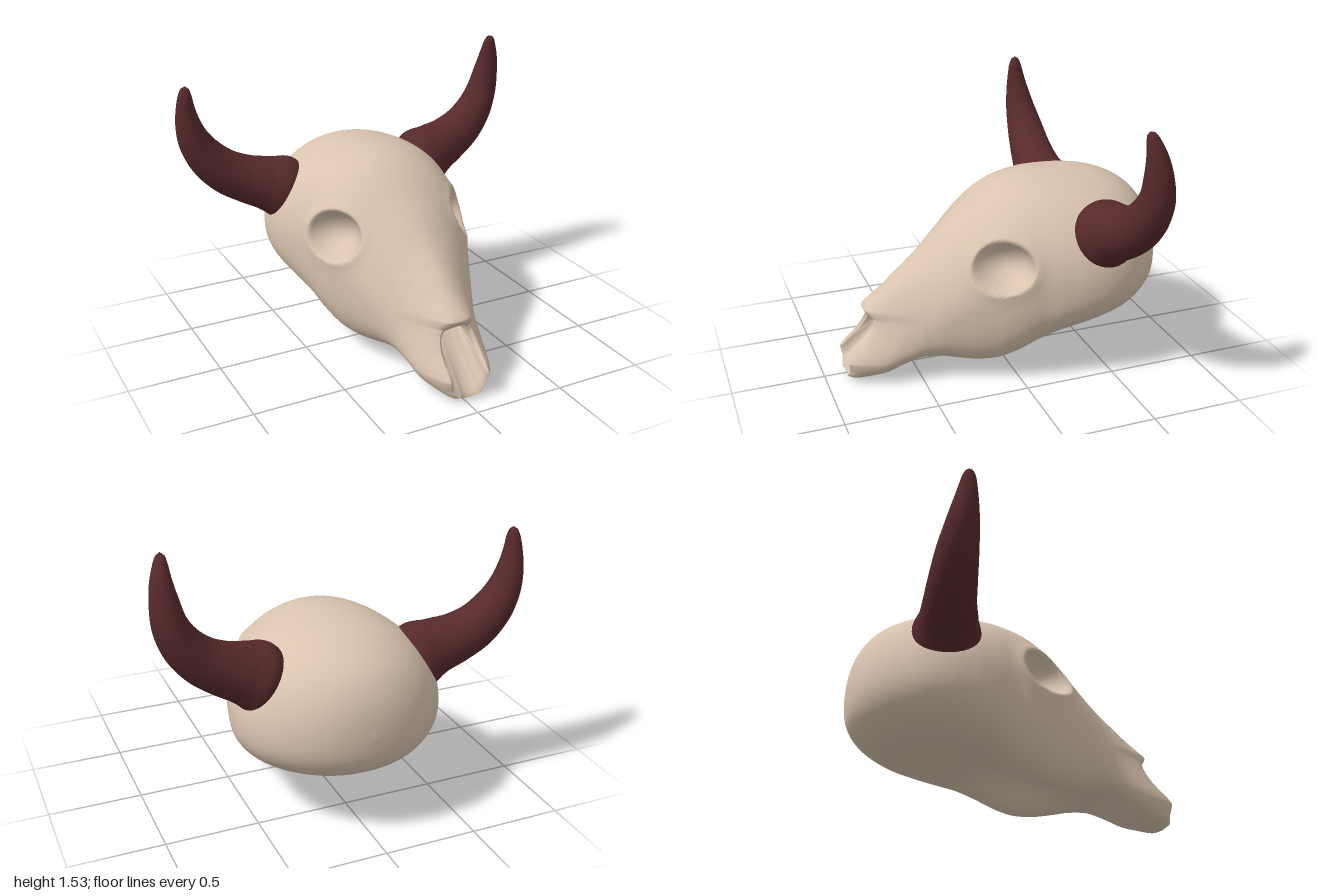
import * as THREE from 'three';
import { mergeVertices } from 'three/addons/utils/BufferGeometryUtils.js';

const MID = 0.022; // the skull sits slightly off the centre line

// Smooth interpolation through rows of numbers, u in 0..1
function sample(rows, u) {
  const f = Math.min(Math.max(u, 0), 1) * (rows.length - 1);
  const i = Math.min(Math.floor(f), rows.length - 2), t = f - i;
  const p0 = rows[Math.max(i - 1, 0)], p1 = rows[i], p2 = rows[i + 1], p3 = rows[Math.min(i + 2, rows.length - 1)];
  return p1.map((b, k) => {
    const a = p0[k], c = p2[k], d = p3[k];
    return b + 0.5 * t * (c - a + t * (2 * a - 5 * b + 4 * c - d + t * (3 * (b - c) + d - a)));
  });
}

// Piecewise-linear lookup of [x, value] pairs
function lookup(pairs, x) {
  if (x <= pairs[0][0]) return pairs[0][1];
  for (let i = 1; i < pairs.length; i++) {
    const [x0, v0] = pairs[i - 1], [x1, v1] = pairs[i];
    if (x <= x1) return v0 + (v1 - v0) * (x - x0) / (x1 - x0);
  }
  return pairs[pairs.length - 1][1];
}

// Skull sections, back to front: z, top, bottom, half width, height of widest point,
// upper roundness, hollow of the underside
const SECTIONS = [
  [-0.892, 0.60, 0.60, 0.00, 0.60, 1.0, 0],
  [-0.88, 0.71, 0.49, 0.115, 0.59, 1.0, 0],
  [-0.85, 0.81, 0.425, 0.225, 0.585, 1.0, 0],
  [-0.79, 0.905, 0.365, 0.335, 0.58, 1.0, 0],
  [-0.70, 0.977, 0.315, 0.435, 0.575, 1.0, 0],
  [-0.58, 1.027, 0.275, 0.515, 0.57, 1.0, 0.01],
  [-0.45, 1.05, 0.246, 0.552, 0.57, 1.0, 0.03],
  [-0.32, 1.06, 0.216, 0.552, 0.57, 1.0, 0.07],
  [-0.20, 1.062, 0.185, 0.527, 0.57, 1.0, 0.12],
  [-0.10, 1.05, 0.138, 0.495, 0.57, 1.0, 0.17],
  [0.00, 1.02, 0.088, 0.47, 0.56, 1.0, 0.21],
  [0.10, 0.96, 0.055, 0.435, 0.54, 0.98, 0.22],
  [0.20, 0.88, 0.05, 0.39, 0.49, 1.0, 0.19],
  [0.30, 0.80, 0.07, 0.342, 0.43, 1.05, 0.12],
  [0.40, 0.71, 0.098, 0.295, 0.36, 1.08, 0.05],
  [0.50, 0.63, 0.105, 0.25, 0.28, 1.1, 0.01],
  [0.60, 0.575, 0.075, 0.225, 0.22, 1.1, 0],
  [0.70, 0.515, 0.035, 0.205, 0.17, 1.1, 0],
  [0.80, 0.455, 0.01, 0.168, 0.15, 0.95, 0],
  [0.86, 0.42, 0.003, 0.137, 0.14, 0.82, 0],
  [0.89, 0.395, 0.018, 0.112, 0.14, 0.74, 0],
];

// Roundness of the lower half along z: the jaw and muzzle are boxier
const LOWER = [[-0.7, 0.9], [-0.3, 0.81], [0.1, 0.66], [0.5, 0.7], [0.7, 0.74], [0.88, 0.9]];

// How far forward the nose rim reaches at each height
const RIM = [[0, 0.86], [0.03, 0.89], [0.07, 0.878], [0.13, 0.888], [0.165, 0.86], [0.2, 0.82], [0.24, 0.782],
  [0.28, 0.755], [0.32, 0.738], [0.355, 0.737], [0.375, 0.755], [0.4, 0.78]];

// Push a point into an eye socket, with a soft raised rim around it
function carveSocket(p, side) {
  const centre = new THREE.Vector3(side * 0.393, 0.69, 0.108);
  const axis = new THREE.Vector3(side * 0.8, 0.22, 0.56).normalize();
  const q = p.clone().sub(centre), along = q.dot(axis);
  if (along < -0.2) return;
  q.addScaledVector(axis, -along);
  q.y *= 1.24;
  const rho = q.length() / 0.168;
  const bowl = rho < 1 ? 0.14 * Math.pow(1 - rho * rho, 0.95) : 0;
  p.addScaledVector(axis, 0.006 * Math.exp(-Math.pow((rho - 1.08) / 0.2, 2)) - bowl);
}

function skullGeometry() {
  const N = 190, M = 190, INNER = 14, pos = [], index = [];
  const spow = (v, e) => Math.sign(v) * Math.pow(Math.abs(v), e);
  let rim = [];
  for (let i = 0; i <= N; i++) {
    const [z, top, bottom, w, yc, eu, hollow] = sample(SECTIONS, i / N);
    const lower = lookup(LOWER, z);
    rim = [];
    for (let j = 0; j < M; j++) {
      const a = (j / M) * Math.PI * 2, c = Math.cos(a), s = Math.sin(a);
      const e = s > 0 ? eu : lower;
      const x = Math.max(w, 0) * spow(c, e);
      let y = yc + (s > 0 ? top - yc : yc - bottom) * spow(s, e);
      // palate hollow between the two jaw ridges
      if (s < 0 && hollow > 0) y += hollow * s * s * Math.exp(-Math.pow(Math.abs(x) / (0.48 * w), 3));
      // the muzzle is stretched so that it ends on the curved nose rim
      const zz = z > 0.5 ? 0.5 + (z - 0.5) * (lookup(RIM, y) - 0.5) / 0.39 : z;
      const p = new THREE.Vector3(x, y, zz);
      carveSocket(p, 1);
      carveSocket(p, -1);
      rim.push(p);
      pos.push(p.x + MID, p.y, p.z);
    }
  }
  // nasal cavity: the rim turns inwards and runs back to a closed end
  for (let k = 0; k <= INNER; k++) {
    const t = k / INNER;
    for (const p of rim) {
      const y = 0.2 + (p.y - 0.2) * 0.88;
      pos.push(p.x * (0.87 - 0.2 * t) + MID, y + (0.33 - y) * t, p.z - 0.012 + (0.6 - p.z) * t);
    }
  }
  for (let i = 0; i < N + INNER + 1; i++) {
    for (let j = 0; j < M; j++) {
      const a = i * M + j, b = i * M + (j + 1) % M;
      index.push(a, b, a + M, b, b + M, a + M);
    }
  }
  const g = new THREE.BufferGeometry();
  g.setAttribute('position', new THREE.Float32BufferAttribute(pos, 3));
  g.setIndex(index);
  g.computeVertexNormals();
  return g;
}

// Tapered tube through rows of x, y, z, radius
function hornGeometry(rows) {
  const SEG = 72, RAD = 32;
  const curve = new THREE.CatmullRomCurve3(rows.map(r => new THREE.Vector3(r[0], r[1], r[2])));
  const g = new THREE.TubeGeometry(curve, SEG, 1, RAD);
  const pos = g.attributes.position, nor = g.attributes.normal;
  const p = new THREE.Vector3(), n = new THREE.Vector3();
  for (let i = 0; i <= SEG; i++) {
    curve.getPointAt(i / SEG, p);
    const r = Math.max(sample(rows, curve.getUtoTmapping(i / SEG))[3], 0.001);
    for (let j = 0; j <= RAD; j++) {
      const k = i * (RAD + 1) + j;
      n.fromBufferAttribute(nor, k).multiplyScalar(r).add(p);
      pos.setXYZ(k, n.x, n.y, n.z);
    }
  }
  g.deleteAttribute('uv');
  g.deleteAttribute('normal');
  const merged = mergeVertices(g, 1e-5);
  merged.computeVertexNormals();
  return merged;
}

const LEFT_HORN = [
  [0.385, 0.765, -0.443, 0.09], [0.425, 0.8, -0.443, 0.155], [0.475, 0.832, -0.445, 0.18], [0.555, 0.868, -0.452, 0.157],
  [0.65, 0.908, -0.46, 0.138],
  [0.76, 0.975, -0.468, 0.122], [0.85, 1.07, -0.478, 0.106], [0.906, 1.18, -0.485, 0.089], [0.927, 1.3, -0.475, 0.072],
  [0.932, 1.4, -0.458, 0.054], [0.925, 1.48, -0.437, 0.035], [0.921, 1.515, -0.425, 0.022], [0.92, 1.53, -0.42, 0],
];
const RIGHT_HORN = [
  [-0.345, 0.735, -0.455, 0.09], [-0.385, 0.77, -0.455, 0.155], [-0.435, 0.798, -0.457, 0.177], [-0.52, 0.83, -0.468, 0.152],
  [-0.63, 0.868, -0.487, 0.134],
  [-0.74, 0.925, -0.5, 0.122], [-0.84, 1.02, -0.505, 0.107], [-0.905, 1.125, -0.5, 0.088], [-0.937, 1.23, -0.492, 0.068],
  [-0.947, 1.32, -0.485, 0.05], [-0.947, 1.39, -0.48, 0.036], [-0.945, 1.428, -0.478, 0.02], [-0.944, 1.44, -0.478, 0],
];

export function createModel() {
  const group = new THREE.Group();
  group.name = 'hornedSkull';
  const bone = new THREE.MeshStandardMaterial({ color: 0xd9c3ae });
  bone.name = 'bone';
  const horn = new THREE.MeshStandardMaterial({ color: 0x57292a });
  horn.name = 'darkHorn';
  const add = (name, geometry, material) => {
    const mesh = new THREE.Mesh(geometry, material);
    mesh.name = name;
    group.add(mesh);
  };
  add('skull', skullGeometry(), bone);
  add('leftHorn', hornGeometry(LEFT_HORN), horn);
  add('rightHorn', hornGeometry(RIGHT_HORN), horn);
  return group;
}
